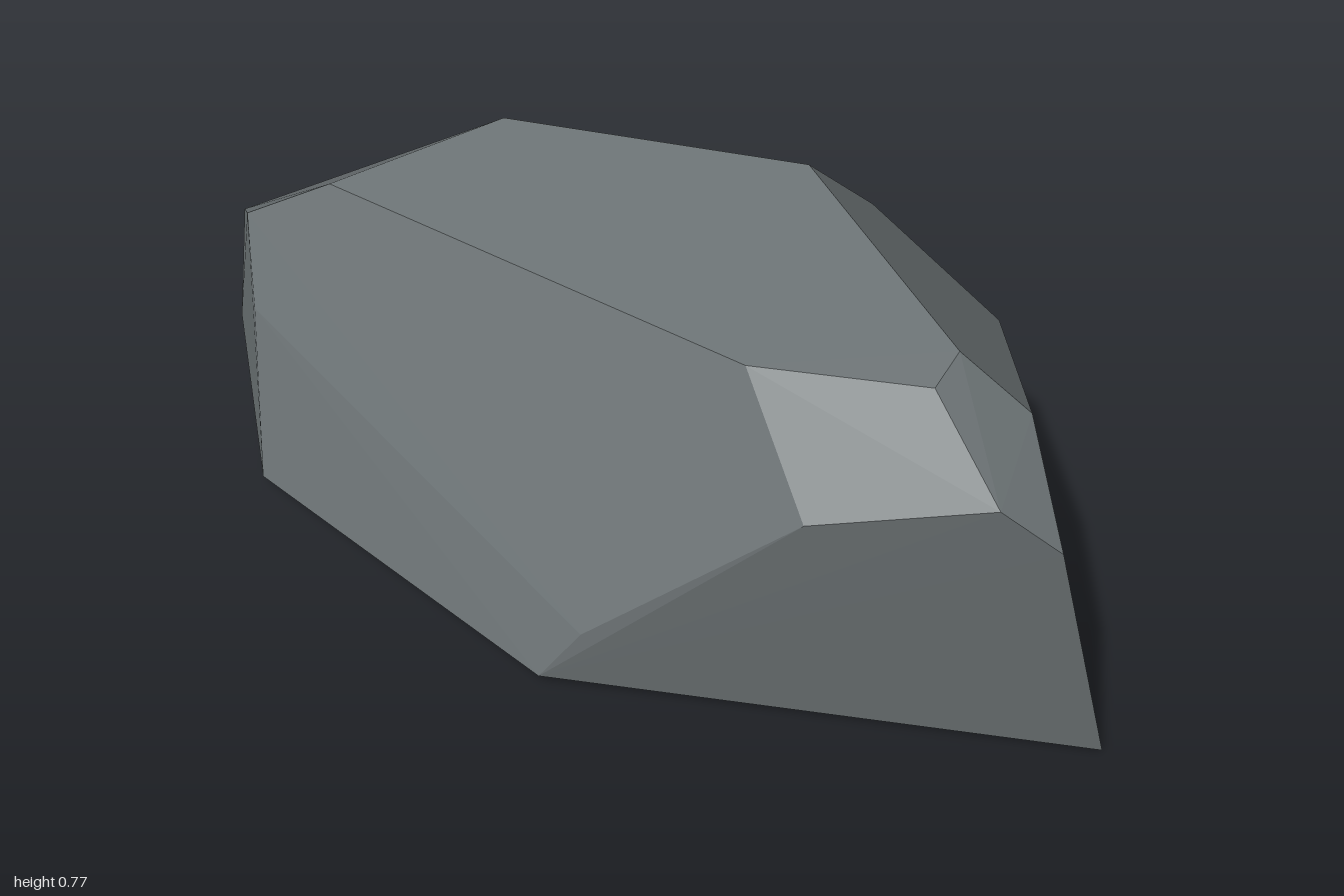
import * as THREE from 'three';
import { ConvexGeometry } from 'three/addons/geometries/ConvexGeometry.js';

export function createModel() {
  const group = new THREE.Group();
  group.name = 'boulder';

  const stone = new THREE.MeshStandardMaterial({ color: 0x6e7577 });
  stone.name = 'slate grey stone';

  // Outline of the gently tilted underside (x, z), its height given by one plane
  const baseOutline = [
    [1, -0.04], [0.54, -0.51], [-0.03, -0.5], [-0.74, -0.24],
    [-0.97, 0.11], [-0.965, 0.245], [-0.64, 0.48], [0.16, 0.505],
  ];
  const baseHeight = (x, z) => 0.004 - 0.0082 * (x - 1) + 0.0166 * (z + 0.04);
  const base = baseOutline.map(([x, z]) => [x, baseHeight(x, z), z]);

  // Corners around the sides
  const sides = [
    [-1, 0.12, 0.23], [-0.9, 0.44, 0.26], [-0.78, 0.52, 0.34], [-0.71, 0.36, 0.4],
    [0.24, 0.15, 0.475], [0.61, 0.52, 0.33], [0.88, 0.61, 0.18], [0.96, 0.525, 0.11],
    [0.46, 0.467, -0.415], [-0.25, 0.39, -0.42], [-0.56, 0.38, -0.305], [-0.63, 0.57, -0.08],
  ];

  // Corners of the crown
  const crown = [
    [-0.58, 0.647, 0.29], [0.42, 0.708, 0.26], [0.71, 0.743, 0.14], [0.69, 0.757, 0.05],
    [0.8, 0.655, -0.01], [0.18, 0.617, -0.38], [0.16, 0.77, -0.21], [-0.44, 0.707, -0.03],
  ];

  // Faceted stone wrapped tightly around all the corners
  const corners = [...base, ...sides, ...crown].map((p) => new THREE.Vector3(...p));
  const rock = new THREE.Mesh(new ConvexGeometry(corners), stone);
  rock.name = 'rock';
  group.add(rock);
  return group;
}
